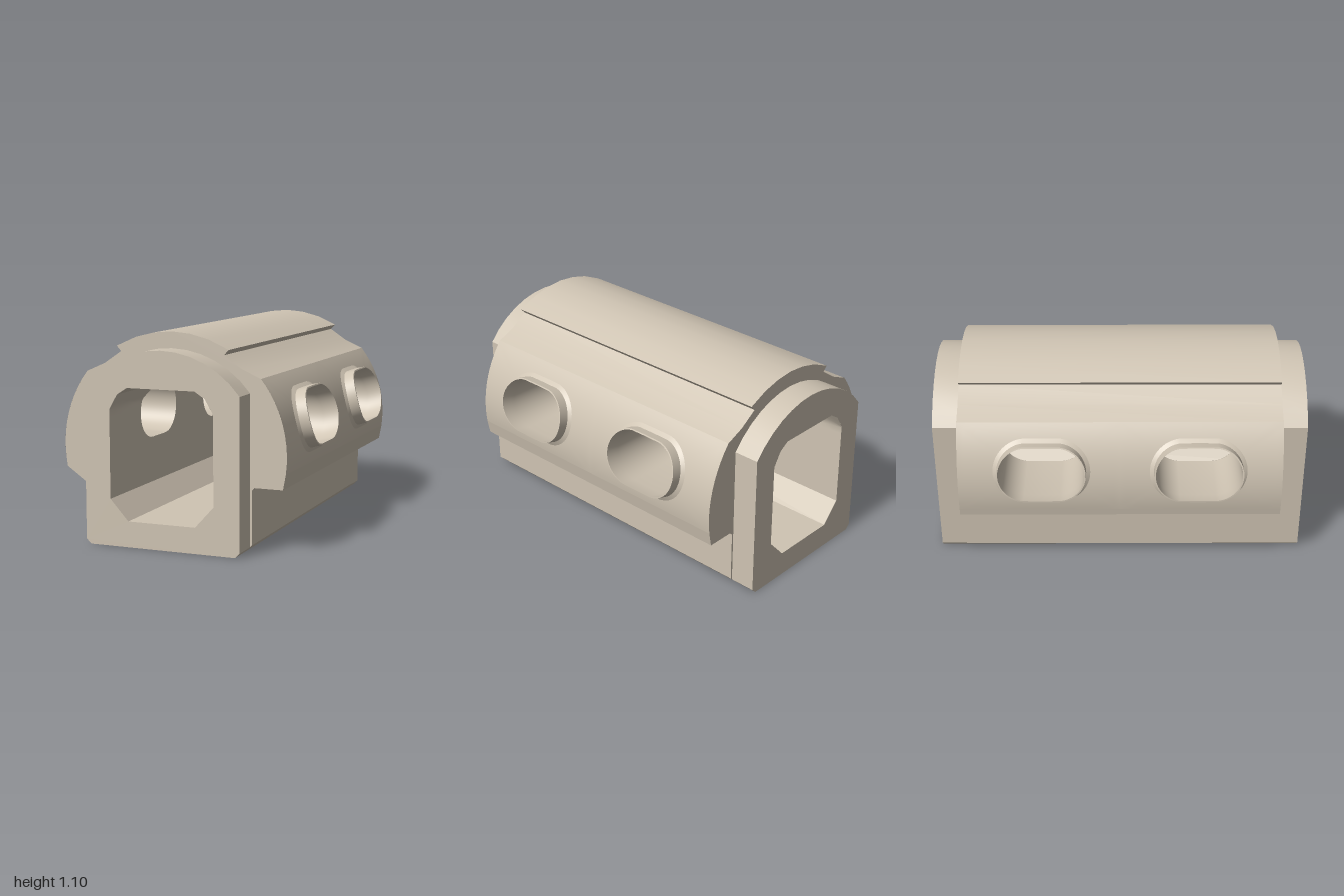
import * as THREE from 'three';
import { toCreasedNormals } from 'three/addons/utils/BufferGeometryUtils.js';

const stone = new THREE.MeshStandardMaterial({ color: 0xcfc4b3, side: THREE.DoubleSide });
stone.name = 'warm stone';

const V = (x, y, z) => new THREE.Vector3(x, y, z);
const rad = THREE.MathUtils.degToRad;

// Quad surface through rows of points
function surface(rows) {
  const n = rows[0].length, pos = [], idx = [];
  rows.flat().forEach(p => pos.push(p.x, p.y, p.z));
  for (let i = 0; i < rows.length - 1; i++) {
    for (let j = 0; j < n - 1; j++) {
      const a = i * n + j, b = a + 1, d = a + n, c = d + 1;
      idx.push(a, b, c, a, c, d);
    }
  }
  const g = new THREE.BufferGeometry();
  g.setAttribute('position', new THREE.Float32BufferAttribute(pos, 3));
  g.setIndex(idx);
  return toCreasedNormals(g, 0.5);
}

function add(parent, name, geometry) {
  const m = new THREE.Mesh(geometry, stone);
  m.name = name;
  parent.add(m);
  return m;
}

// Straight run of a profile along z
const ruled = (pts, z0, z1) => surface([z0, z1].map(z => pts.map(([x, y]) => V(x, y, z))));
const mirror = pts => pts.map(([x, y]) => [-x, y]).reverse();

// Arc points about (0, cy)
function arc(r, cy, a0, a1, n) {
  return Array.from({ length: n + 1 }, (_, i) => {
    const a = rad(a0 + (a1 - a0) * i / n);
    return [r * Math.cos(a), cy + r * Math.sin(a)];
  });
}

// Window frame: axis tilted up from the barrel centre
const CY = 0.49, R = 0.62, TILT = 14.5, LOW = -7.5, HIGH = 39;
const WZ = 0.415, CORE = 0.08;
const onBarrel = (r, v, z) => {
  const a = rad(TILT), s = Math.sqrt(r * r - v * v);
  return V(s * Math.cos(a) - v * Math.sin(a), CY + s * Math.sin(a) + v * Math.cos(a), z);
};
const tunnelX = y => 0.285 - Math.max(0, y - 0.71) * 0.6;

// Panel with a stadium-shaped hole, from rectangle edge to hole edge
function holedPanel(v0, v1, z0, z1, vc, r, map, flip) {
  const corners = [[v1, z0], [v1, z1], [v0, z1], [v0, z0]];
  const outer = [], N = 14, M = 6;
  for (let k = 0; k < 4; k++) {
    const p = corners[k], q = corners[(k + 1) % 4];
    for (let i = 0; i < N; i++) {
      outer.push([p[0] + (q[0] - p[0]) * i / N, p[1] + (q[1] - p[1]) * i / N]);
    }
  }
  outer.push(outer[0]);
  const inner = outer.map(([v, z]) => {
    const cz = WZ + THREE.MathUtils.clamp(z - WZ, -CORE, CORE);
    const l = Math.hypot(v - vc, z - cz);
    return [vc + (v - vc) * r / l, cz + (z - cz) * r / l];
  });
  const rows = [];
  for (let i = 0; i <= M; i++) {
    rows.push(outer.map(([v, z], j) =>
      map(v + (inner[j][0] - v) * i / M, z + (inner[j][1] - z) * i / M)));
  }
  return surface(flip ? rows.reverse() : rows);
}

// Stadium loop of given end radius
function stadium(r, map) {
  return Array.from({ length: 57 }, (_, i) => {
    const a = i / 56 * Math.PI * 2, s = Math.sin(a);
    const side = Math.abs(s) < 1e-6 ? 0 : Math.sign(s);
    return map(r * Math.cos(a), WZ + side * CORE + r * s);
  });
}

function windowBay() {
  const g = new THREE.Group();
  const v0 = R * Math.sin(rad(LOW - TILT)), v1 = R * Math.sin(rad(HIGH - TILT));
  add(g, 'outerWall', holedPanel(v0, v1, 0, 0.86, 0, 0.16, (v, z) => onBarrel(R, v, z)));
  add(g, 'tunnelWall', holedPanel(0.245, 0.785, 0, 1, 0.635, 0.145,
    (y, z) => V(tunnelX(y), y, z), true));
  // Collar, protruding tube, lip and lining down to the tunnel
  const rings = [[0.62, 0.178], [0.631, 0.157], [0.685, 0.155], [0.685, 0.148], [0.6, 0.148]]
    .map(([r, h]) => stadium(h, (v, z) => onBarrel(r, v, z)));
  rings.push(stadium(0.146, (v, z) => V(tunnelX(0.635 + v), 0.635 + v, z)));
  add(g, 'windowTube', surface(rings));
  return g;
}

// Flat end wall with the tunnel opening
function endWall(outline, hole, z) {
  const s = new THREE.Shape(outline.map(p => new THREE.Vector2(...p)));
  s.holes.push(new THREE.Path(hole.map(p => new THREE.Vector2(...p))));
  const g = new THREE.ShapeGeometry(s);
  if (z < 0) g.rotateY(Math.PI).scale(-1, 1, 1);
  return g.translate(0, 0, z);
}

export function createModel() {
  const model = new THREE.Group();
  model.name = 'tunnelSection';

  // Profiles, running anticlockwise seen from the front
  const wall = arc(R, CY, LOW, HIGH, 10);
  const roofHalf = [wall[10], [0.38, 0.925], [0.285, 0.99], [0.31, 1.017],
    [0.2, 1.066], [0.1, 1.091], [0, 1.1]];
  const roof = [...roofHalf, ...mirror(roofHalf).slice(1)];
  const rightFoot = [[0.4, 0], [0.435, 0.035], [0.435, 0.315], [0.45, 0.33], [0.6, 0.33], wall[0]];
  const leftFoot = [[-wall[0][0], wall[0][1]], [-0.61, 0.37], [-0.45, 0.26],
    [-0.44, 0.245], [-0.44, 0.035], [-0.4, 0]];
  const shell = [...rightFoot, ...wall.slice(1), ...roof.slice(1),
    ...mirror(wall).slice(1), ...leftFoot.slice(1)];
  const neck = [[-0.4, 0], [0.4, 0], [0.425, 0.025], ...arc(0.535, 0.48, 37.4, 142.6, 12), [-0.425, 0.025]];
  const floor = [[-0.285, 0.245], [-0.185, 0.135], [0.185, 0.135], [0.285, 0.245]];
  const ceiling = [[0.24, 0.785], [0.185, 0.82], [-0.185, 0.82], [-0.24, 0.785]];
  const tunnel = [...floor, [0.285, 0.71], ...ceiling, [-0.285, 0.71]];

  // Barrel shell
  add(model, 'roof', ruled(roof, -0.86, 0.86));
  add(model, 'rightFoot', ruled(rightFoot, -0.86, 0.86));
  add(model, 'leftFoot', ruled(leftFoot, -0.86, 0.86));
  add(model, 'base', ruled([[-0.4, 0], [0.4, 0]], -0.86, 0.86));

  // Tunnel floor and ceiling
  add(model, 'tunnelFloor', ruled([...floor].reverse(), -1, 1));
  add(model, 'tunnelCeiling', ruled([...ceiling].reverse(), -1, 1));

  // End walls and connecting necks
  for (const s of [1, -1]) {
    const end = s > 0 ? 'front' : 'back';
    add(model, end + 'ShellWall', endWall(shell, tunnel, 0.86 * s));
    add(model, end + 'NeckFace', endWall(neck, tunnel, s));
    add(model, end + 'Neck', ruled([...neck, neck[0]], s > 0 ? 0.86 : -1, s > 0 ? 1 : -0.86));
  }

  // Four window bays
  for (const sx of [1, -1]) {
    for (const sz of [1, -1]) {
      const bay = windowBay();
      bay.name = (sz > 0 ? 'front' : 'back') + (sx > 0 ? 'Left' : 'Right') + 'WindowBay';
      bay.scale.set(sx, 1, sz);
      model.add(bay);
    }
  }
  return model;
}
